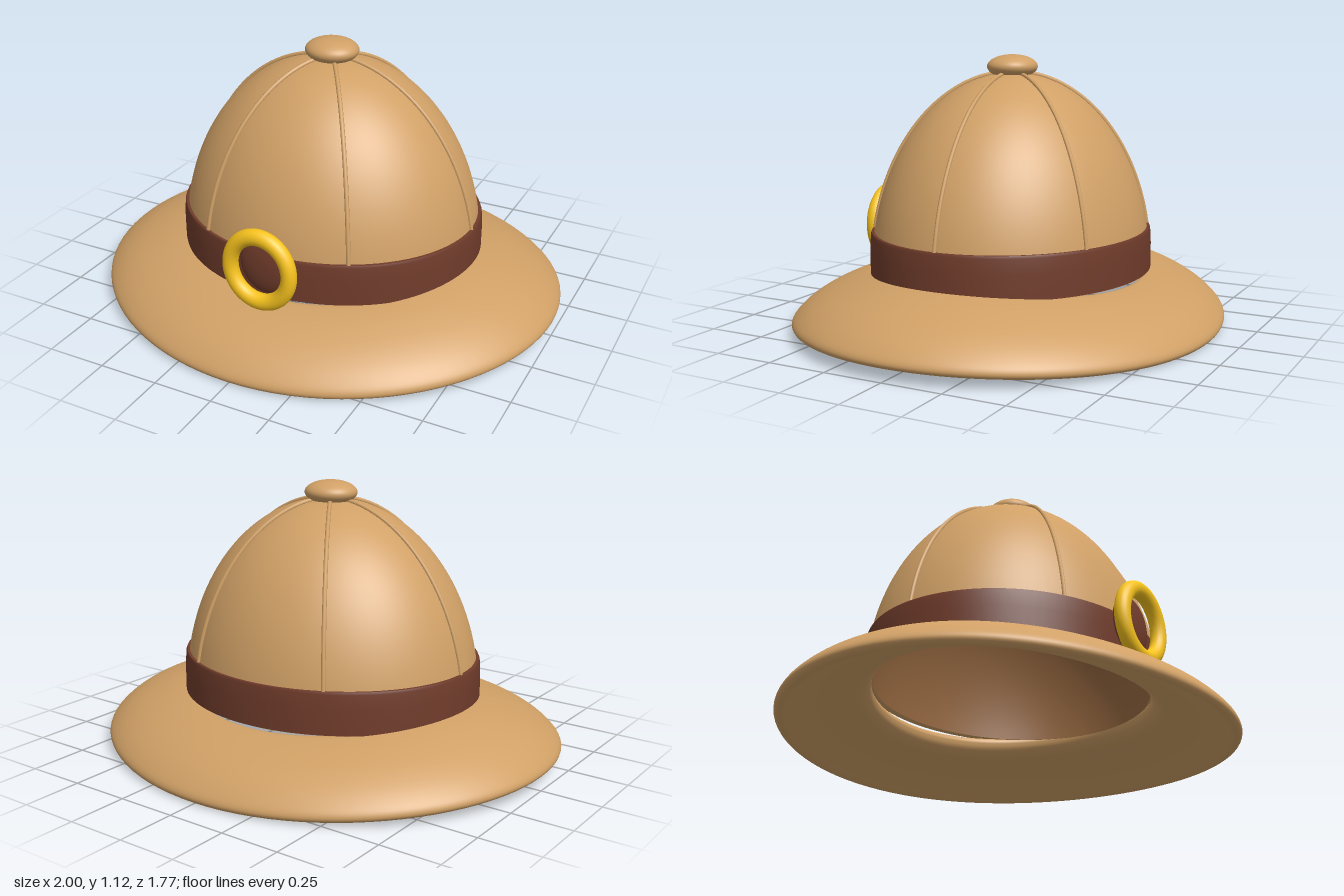
import * as THREE from 'three';
import { mergeVertices } from 'three/addons/utils/BufferGeometryUtils.js';

const DEPTH = 0.885; // the hat is an oval: z radius / x radius
const tan = new THREE.MeshStandardMaterial({ color: 0xd0a066 });
const liningBrown = new THREE.MeshStandardMaterial({ color: 0x966840, side: THREE.DoubleSide });
const brown = new THREE.MeshStandardMaterial({ color: 0x703c2b });
const gold = new THREE.MeshStandardMaterial({ color: 0xf8c41e });

const vectors = (list) => list.map(([x, y]) => new THREE.Vector2(x, y));

function addMesh(parent, name, geometry, material) {
  const mesh = new THREE.Mesh(geometry, material);
  mesh.name = name;
  parent.add(mesh);
  return mesh;
}

// Quarter-ellipse dome profile; t = 0 at the base, PI/2 at the top
const domeBase = 0.225;
const domePoint = (t, radius, height) => [radius * Math.cos(t), domeBase + height * Math.sin(t)];

function domeGeometry(radius, height) {
  const profile = [];
  for (let i = 0; i < 32; i++) profile.push(domePoint((i / 32) * Math.PI / 2, radius, height));
  profile.push([0, domeBase + height]);
  return new THREE.LatheGeometry(vectors(profile), 96);
}

// Closed, rounded brim section swept round, then dipped towards front and back
function brimGeometry() {
  const section = new THREE.SplineCurve(vectors([
    [0.612, 0.232], [0.622, 0.203], [0.66, 0.173], [0.73, 0.15], [0.82, 0.118],
    [0.91, 0.075], [0.96, 0.048], [0.985, 0.047], [1.0, 0.066], [0.985, 0.096],
    [0.93, 0.143], [0.85, 0.188], [0.75, 0.226], [0.67, 0.247], [0.625, 0.252], [0.612, 0.232],
  ]));
  let geometry = new THREE.LatheGeometry(section.getPoints(60), 96);
  geometry.deleteAttribute('uv');
  geometry.deleteAttribute('normal');
  geometry = mergeVertices(geometry, 1e-5);
  const p = geometry.attributes.position;
  for (let i = 0; i < p.count; i++) {
    const x = p.getX(i), z = p.getZ(i);
    const dip = 0.045 * (z * z) / (x * x + z * z);
    p.setXYZ(i, x, p.getY(i) - dip, z * DEPTH);
  }
  geometry.computeVertexNormals();
  return geometry;
}

export function createModel() {
  const hat = new THREE.Group();
  hat.name = 'sunHelmet';

  addMesh(hat, 'brim', brimGeometry(), tan);

  // Oval crown with its parts
  const oval = new THREE.Group();
  oval.name = 'crownGroup';
  oval.scale.z = DEPTH;
  hat.add(oval);
  addMesh(oval, 'crown', domeGeometry(0.645, 0.82), tan);
  addMesh(oval, 'lining', domeGeometry(0.61, 0.785), liningBrown);

  // Lower edge joining crown and lining
  addMesh(oval, 'crownEdge', new THREE.LatheGeometry(vectors([[0.61, domeBase], [0.645, domeBase]]), 96), tan);

  // Band: separate lathes for wall and rims keep the edges crisp
  const band = new THREE.Group();
  band.name = 'band';
  oval.add(band);
  const bandParts = {
    bandWall: [[0.65, 0.228], [0.65, 0.33], [0.646, 0.39], [0.642, 0.4]],
    bandTop: [[0.642, 0.4], [0.62, 0.4]],
    bandBottom: [[0.64, 0.228], [0.65, 0.228]],
  };
  for (const [name, points] of Object.entries(bandParts)) {
    addMesh(band, name, new THREE.LatheGeometry(vectors(points), 96), brown);
  }

  // Six raised seams from the band to the button
  const seamPoints = [];
  for (let i = 0; i <= 12; i++) {
    const [r, y] = domePoint(0.19 + (i / 12) * 1.28, 0.648, 0.824);
    seamPoints.push(new THREE.Vector3(r, y, 0));
  }
  const seamGeometry = new THREE.TubeGeometry(new THREE.CatmullRomCurve3(seamPoints), 40, 0.009, 8);
  for (let i = 0; i < 6; i++) {
    addMesh(oval, 'seam' + (i + 1), seamGeometry, tan).rotation.y = (i * Math.PI) / 3;
  }

  // Button on top
  const button = addMesh(hat, 'topButton', new THREE.SphereGeometry(1, 40, 24), tan);
  button.scale.set(0.112, 0.05, 0.104);
  button.position.y = 1.07;

  // Front badge: gold ring around a domed brown centre
  const badge = new THREE.Group();
  badge.name = 'badge';
  badge.position.set(0, 0.365, 0);
  hat.add(badge);
  const ring = addMesh(badge, 'badgeRing', new THREE.TorusGeometry(0.13, 0.032, 20, 64), gold);
  ring.scale.y = 1.08;
  ring.position.z = 0.62;
  const centre = addMesh(badge, 'badgeCentre', new THREE.SphereGeometry(1, 40, 24), brown);
  centre.scale.set(0.112, 0.125, 0.036);
  centre.position.z = 0.571;

  return hat;
}
